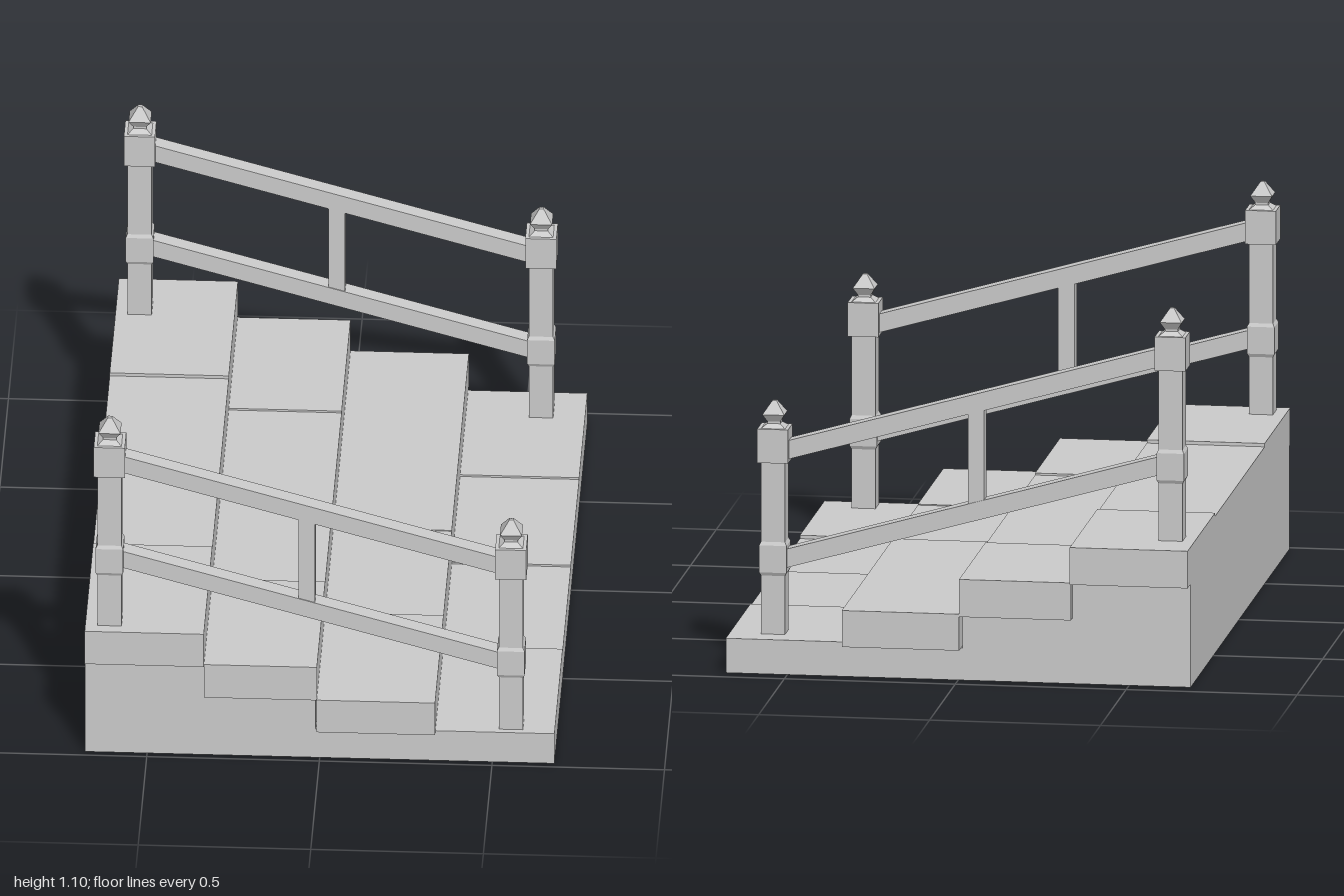
import * as THREE from 'three';

const stone = new THREE.MeshStandardMaterial({ color: 0xcccccc, flatShading: true });

function add(parent, name, geometry, x = 0, y = 0, z = 0) {
  const mesh = new THREE.Mesh(geometry, stone);
  mesh.name = name;
  mesh.position.set(x, y, z);
  parent.add(mesh);
  return mesh;
}

// Box given by its extents
function block(parent, name, x0, x1, y0, y1, z0, z1) {
  return add(parent, name, new THREE.BoxGeometry(x1 - x0, y1 - y0, z1 - z0),
    (x0 + x1) / 2, (y0 + y1) / 2, (z0 + z1) / 2);
}

// Outline in x and y, extruded between two z values
function prism(parent, name, points, z0, z1) {
  const shape = new THREE.Shape(points.map(([x, y]) => new THREE.Vector2(x, y)));
  const geometry = new THREE.ExtrudeGeometry(shape, { depth: z1 - z0, bevelEnabled: false });
  return add(parent, name, geometry, 0, 0, z0);
}

// Square turned profile: pairs of half-width and height
function squareLathe(parent, name, profile, x, y, z) {
  const points = profile.map(([w, h]) => new THREE.Vector2(w * Math.SQRT2, h));
  return add(parent, name, new THREE.LatheGeometry(points, 4, Math.PI / 4), x, y, z);
}

// Post with collar, cap block and finial
function makePost(x, z, bottom, top) {
  const post = new THREE.Group();
  post.name = 'post';
  const square = (name, half, y0, y1) =>
    block(post, name, x - half, x + half, y0, y1, z - half, z + half);
  square('postShaft', 0.035, bottom, top - 0.05);
  squareLathe(post, 'postCollar', [
    [0.035, -0.01], [0.04, 0], [0.04, 0.08], [0.035, 0.09],
  ], x, top - 0.425, z);
  square('postCap', 0.045, top - 0.1, top);
  squareLathe(post, 'finial', [
    [0.035, 0], [0.019, 0.012], [0.019, 0.018], [0.032, 0.04], [0.006, 0.078], [0, 0.08],
  ], x, top, z);
  return post;
}

// Railing: two posts, two sloping rails and a baluster
function makeRailing(z) {
  const railing = new THREE.Group();
  railing.name = 'railing';
  railing.add(makePost(-0.61, z, 0.4, 1.02), makePost(0.553, z, 0.09, 0.71));
  const x0 = -0.58, x1 = 0.52, slope = -0.283;
  for (const [name, y] of [['upperRail', 0.925], ['lowerRail', 0.605]]) {
    const a = y + slope * (x0 + 0.57);
    const b = y + slope * (x1 + 0.57);
    prism(railing, name, [[x0, a], [x1, b], [x1, b + 0.055], [x0, a + 0.055]], z - 0.025, z + 0.025);
  }
  block(railing, 'baluster', -0.063, -0.015, 0.49, 0.785, z - 0.022, z + 0.022);
  return railing;
}

export function createModel() {
  const model = new THREE.Group();
  model.name = 'stairs';

  // Solid stepped core under the slabs
  prism(model, 'stairCore', [
    [-0.68, 0], [0.335, 0], [0.335, 0.095], [-0.012, 0.095],
    [-0.012, 0.195], [-0.335, 0.195], [-0.335, 0.305], [-0.68, 0.305],
  ], -0.943, 0.98);

  // Treads, each of four slabs with slightly uneven tops and ends
  const steps = [
    { x: [-0.68, -0.335], y: 0.305, z: [-1, 0.997], tops: [0.415, 0.405, 0.405, 0.415] },
    { x: [-0.335, -0.008], y: 0.195, z: [-0.98, 0.985], tops: [0.306, 0.3, 0.3, 0.306] },
    { x: [-0.008, 0.335], y: 0.095, z: [-0.98, 0.997], tops: [0.203, 0.203, 0.2, 0.203] },
    { x: [0.335, 0.68], y: 0, z: [-0.943, 0.98], tops: [0.102, 0.096, 0.09, 0.1] },
  ];
  steps.forEach(({ x, y, z, tops }) => {
    const cuts = [z[0], -0.465, 0.02, 0.5, z[1]];
    tops.forEach((top, i) => block(model, 'treadSlab', x[0], x[1], y, top, cuts[i], cuts[i + 1]));
  });

  // Railings at both ends
  model.add(makeRailing(0.927), makeRailing(-0.833));
  return model;
}
